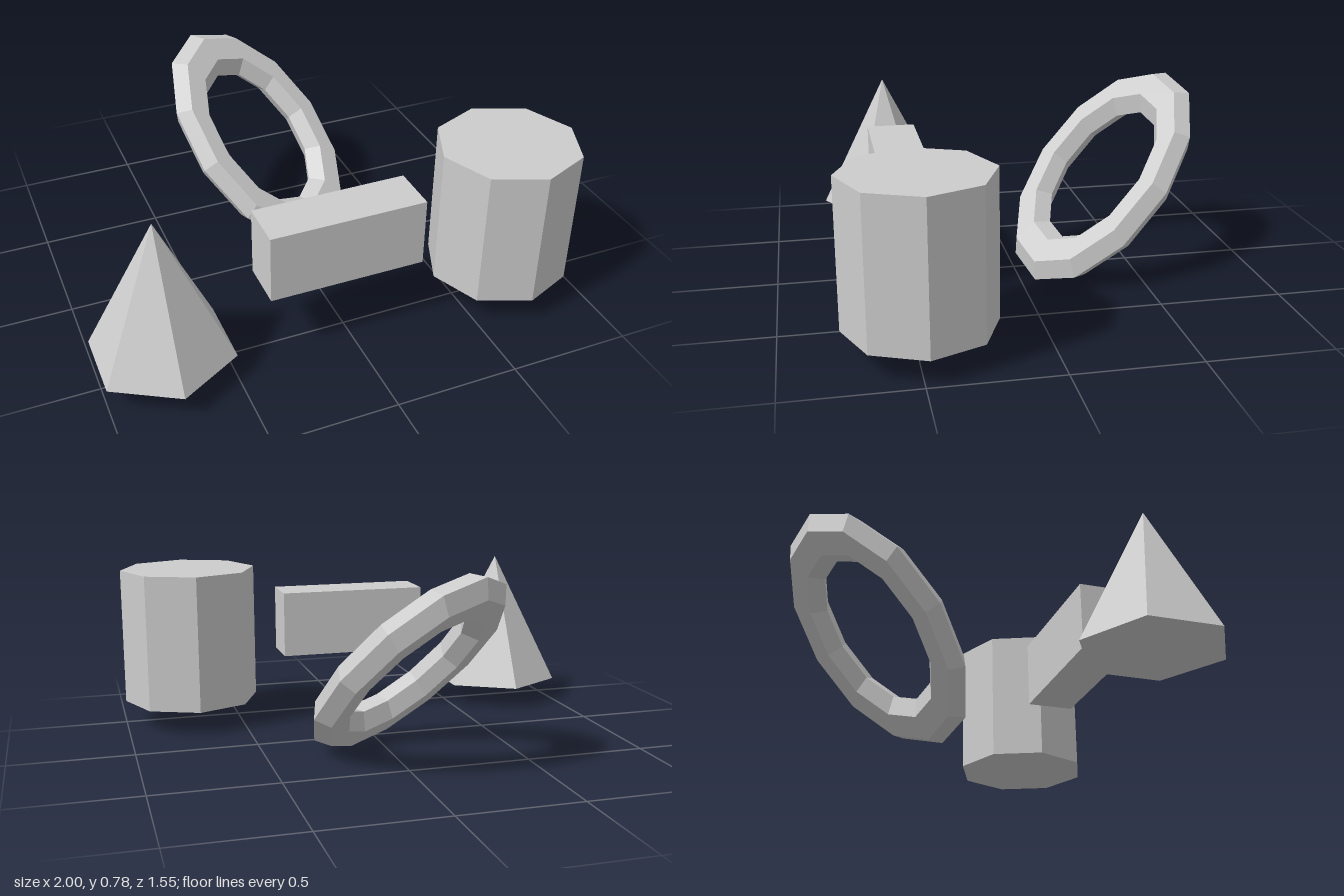
import * as THREE from 'three';

const U = 0.2913; // base radius shared by all the solids
const MID = 0.393; // height of the solids' centres
const FRONT = 0.482; // z of the front row

export function createModel() {
  const group = new THREE.Group();
  const grey = new THREE.MeshStandardMaterial({ color: 0xcccccc, flatShading: true });
  grey.name = 'plain grey';

  const add = (name, geometry, x, y, z) => {
    const mesh = new THREE.Mesh(geometry, grey);
    mesh.name = name;
    mesh.position.set(x, y, z);
    group.add(mesh);
    return mesh;
  };

  // Front row: six-sided cone, block and eight-sided cylinder
  add('cone', new THREE.ConeGeometry(U, 2 * U, 6), -0.748, MID, FRONT);
  add('block', new THREE.BoxGeometry(2.2 * U, 0.98 * U, 0.69 * U), -0.02, 0.425, FRONT);
  add('cylinder', new THREE.CylinderGeometry(U, U, 2 * U, 8), 0.709, MID, FRONT);

  // Ring behind: stretched along its long axis and tilted 45 degrees
  const ring = add('ring', new THREE.TorusGeometry(U, U / 4, 6, 12), -0.021, MID, -0.392);
  ring.scale.set(1.5, 1, 1);
  const tilt = Math.PI / 4;
  const heading = Math.PI / 3;
  const c = Math.cos(tilt), s = Math.sin(tilt);
  const hx = -Math.cos(heading), hz = -Math.sin(heading);
  const longAxis = new THREE.Vector3(hx * c, s, hz * c);
  const normal = new THREE.Vector3(-hx * s, c, -hz * s);
  const shortAxis = new THREE.Vector3().crossVectors(normal, longAxis);
  ring.quaternion.setFromRotationMatrix(
    new THREE.Matrix4().makeBasis(longAxis, shortAxis, normal)
  );

  return group;
}
